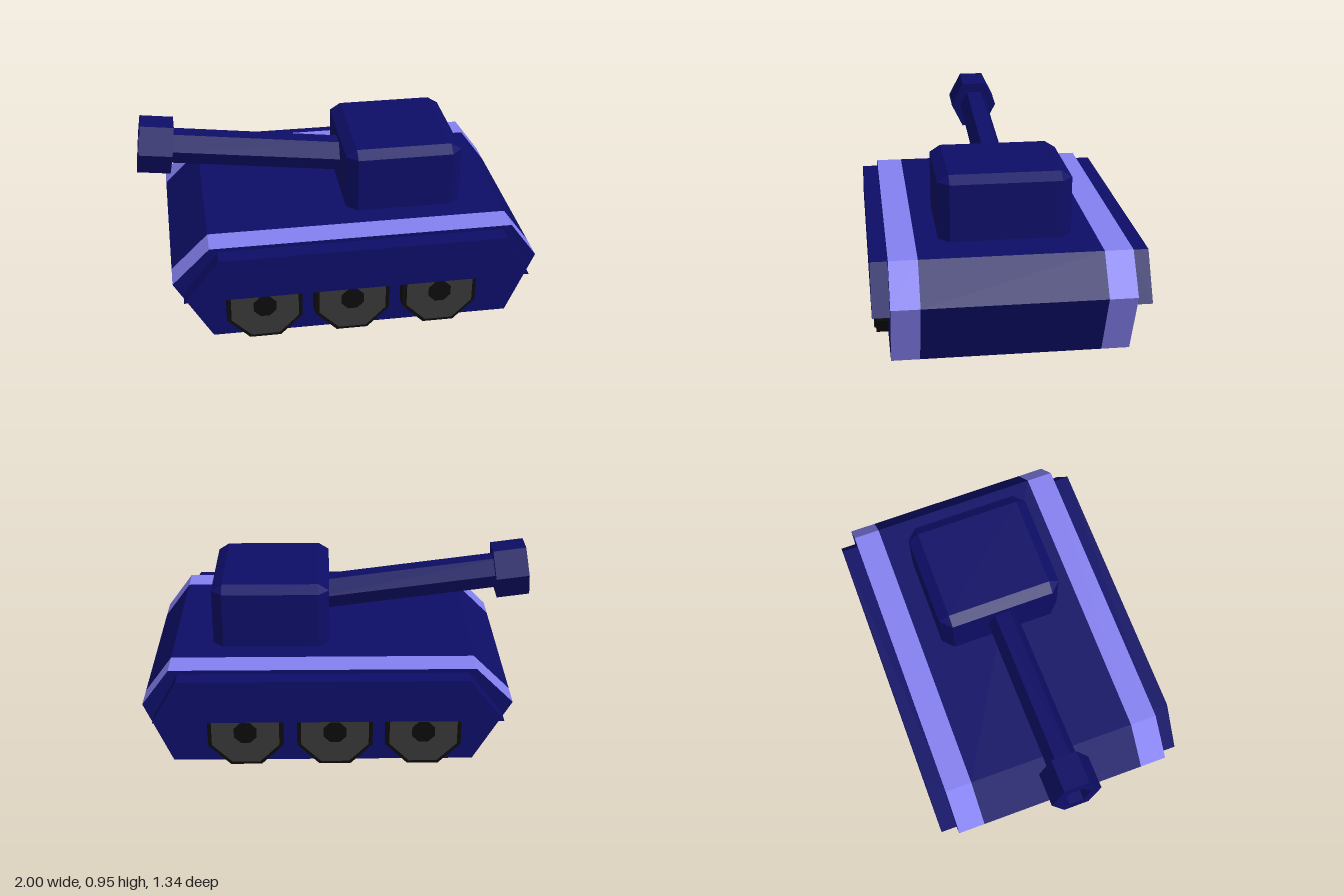
import * as THREE from 'three';
import { ConvexGeometry } from 'three/addons/geometries/ConvexGeometry.js';

const paint = (color) => new THREE.MeshStandardMaterial({ color, flatShading: true });
const navy = paint(0x0d0d66);
const lilac = paint(0x8480f0);
const rubber = paint(0x0b0b0b);
const steel = paint(0x363636);

const points = (list) => list.map(([x, y]) => new THREE.Vector2(x, y));

// Corners of a polygon with flat top and bottom, given its half width and half height
function polygon(sides, rx, ry = rx) {
  const turn = sides === 8 ? Math.PI / 8 : 0;
  return Array.from({ length: sides }, (_, i) => {
    const a = turn + (i / sides) * Math.PI * 2;
    return [rx * Math.cos(a), ry * Math.sin(a)];
  });
}

// Straight prism of an outline between z0 and z1, optionally with a hole
function prism(name, outline, z0, z1, material, hole) {
  const shape = new THREE.Shape(points(outline));
  if (hole) shape.holes.push(new THREE.Path(points(hole)));
  const geometry = new THREE.ExtrudeGeometry(shape, { depth: z1 - z0, bevelEnabled: false });
  geometry.translate(0, 0, z0);
  const mesh = new THREE.Mesh(geometry, material);
  mesh.name = name;
  return mesh;
}

const hullProfile = [[-0.67, 0], [0.86, 0], [1, 0.33], [0.86, 0.52], [-0.67, 0.52], [-0.86, 0.33]];
const fenderProfile = [[-0.81, 0.27], [0.945, 0.27], [0.815, 0.5], [-0.63, 0.5]];

function createWheel() {
  const wheel = new THREE.Group();
  wheel.name = 'wheel';
  wheel.add(
    prism('tyre', polygon(8, 0.206), 0.55, 0.645, rubber),
    prism('wheelDisc', polygon(8, 0.184), 0.64, 0.655, [steel, rubber]),
    prism('hub', polygon(8, 0.062), 0.65, 0.657, rubber),
  );
  return wheel;
}

// Everything on one flank: rim stripe, fender and three wheels
function createFlank(name) {
  const flank = new THREE.Group();
  flank.name = name;
  flank.add(
    prism('rimStripe', hullProfile, 0.445, 0.585, [navy, lilac]),
    prism('fender', fenderProfile, 0.58, 0.67, navy),
  );
  for (const x of [-0.41, 0.035, 0.485]) {
    const wheel = createWheel();
    wheel.position.set(x, 0.202, 0);
    flank.add(wheel);
  }
  return flank;
}

// Box with chamfered upright and top edges
function createTurret() {
  const hx = 0.3, hz = 0.33, b = 0.055;
  const corners = [];
  for (const sx of [-1, 1]) for (const sz of [-1, 1]) {
    for (const y of [0.5, 0.81]) {
      corners.push(new THREE.Vector3(sx * hx, y, sz * (hz - b)));
      corners.push(new THREE.Vector3(sx * (hx - b), y, sz * hz));
    }
    corners.push(new THREE.Vector3(sx * (hx - b), 0.845, sz * (hz - b)));
  }
  const turret = new THREE.Mesh(new ConvexGeometry(corners), navy);
  turret.name = 'turret';
  turret.position.x = 0.36;
  return turret;
}

// Raised six-sided gun; its own +z runs out of the muzzle
function createGun() {
  const barrel = new THREE.Group();
  barrel.add(
    prism('barrel', polygon(6, 0.08, 0.094), -1.05, -0.02, navy),
    prism('muzzle', polygon(6, 0.13, 0.153), -0.086, 0.086, navy, polygon(6, 0.075, 0.088)),
  );
  barrel.rotation.y = -Math.PI / 2;
  const gun = new THREE.Group();
  gun.name = 'gun';
  gun.add(barrel);
  gun.rotation.z = -0.128;
  gun.position.set(-0.8975, 0.811, -0.003);
  return gun;
}

export function createModel() {
  const model = new THREE.Group();
  model.name = 'tank';
  const leftFlank = createFlank('frontFlank');
  // Turned half round, with its contents mirrored along x
  const rightFlank = createFlank('backFlank');
  rightFlank.scale.z = -1;
  model.add(
    prism('hull', hullProfile, -0.445, 0.445, navy),
    leftFlank,
    rightFlank,
    createTurret(),
    createGun(),
  );
  return model;
}
